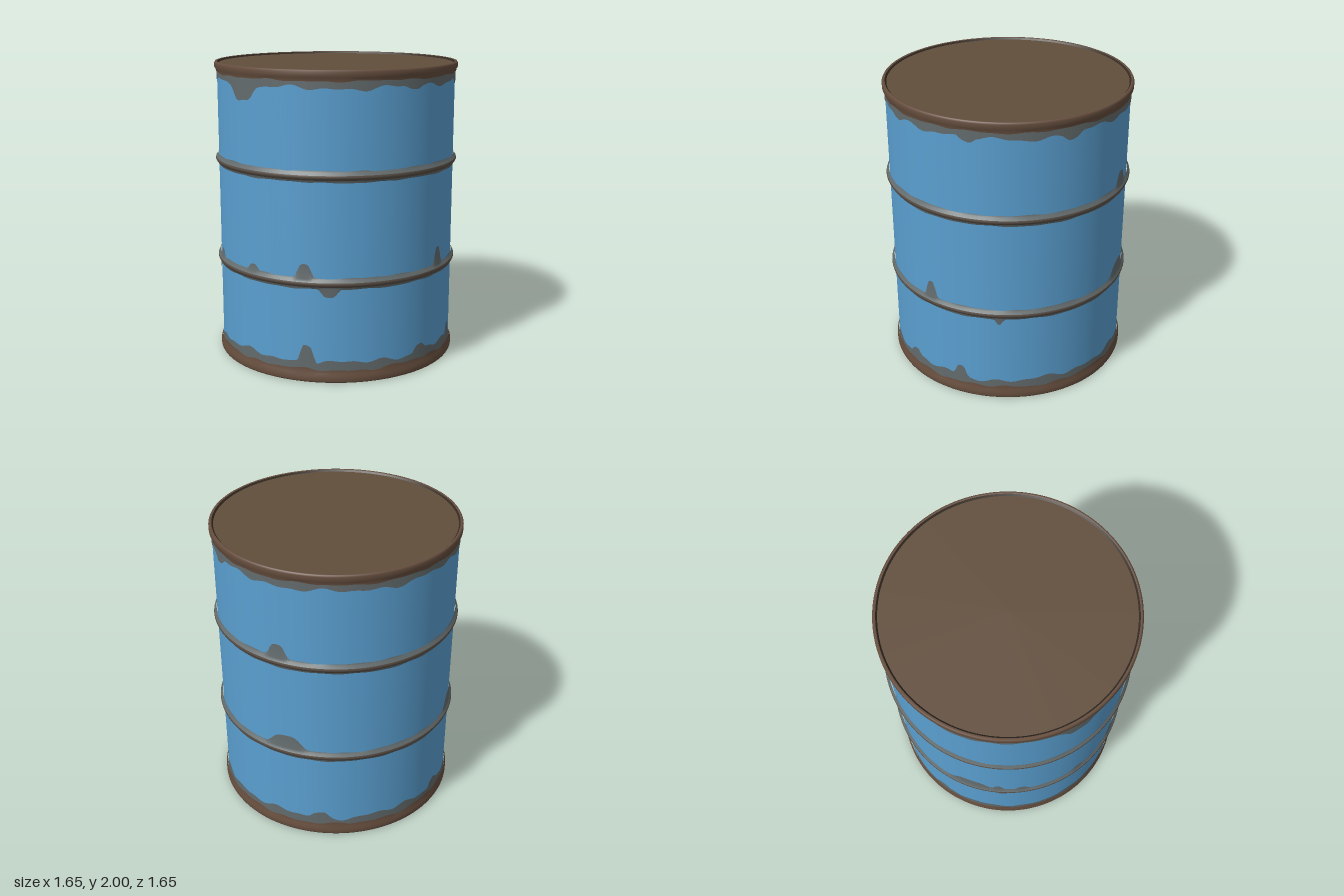
import * as THREE from 'three';

const SEG = 288;
const R = 0.804;   // drum wall
const SKIN = 0.808; // thin rust layer over the paint

const paint = (name, color) => Object.assign(new THREE.MeshStandardMaterial({ color }), { name });

// wavy edge around the drum
const wave = (a, seed) =>
  (Math.sin(7 * a + seed) + Math.sin(16 * a + seed * 2.3) + 0.8 * Math.sin(27 * a + seed * 4.1)) / 2.8;

// rounded stains: each is [angle in degrees, half width in radians, height]
function stains(a, list) {
  let h = 0;
  for (const [deg, w, height] of list) {
    let d = a - THREE.MathUtils.degToRad(deg);
    d = Math.atan2(Math.sin(d), Math.cos(d));
    h = Math.max(h, height * Math.exp(-Math.pow(d / w, 4)));
  }
  return h;
}

// closed band through rows of [y or y(angle), radius], from bottom to top
function band(name, rows, material) {
  const pos = [], index = [];
  for (const [y, r] of rows) {
    for (let i = 0; i < SEG; i++) {
      const a = (i / SEG) * Math.PI * 2;
      pos.push(r * Math.sin(a), typeof y === 'function' ? y(a) : y, r * Math.cos(a));
    }
  }
  for (let j = 0; j < rows.length - 1; j++) {
    for (let i = 0; i < SEG; i++) {
      const k = (i + 1) % SEG;
      const a = j * SEG + i, b = j * SEG + k, c = b + SEG, d = a + SEG;
      index.push(a, b, c, a, c, d);
    }
  }
  const g = new THREE.BufferGeometry();
  g.setAttribute('position', new THREE.Float32BufferAttribute(pos, 3));
  g.setIndex(index);
  g.computeVertexNormals();
  const mesh = new THREE.Mesh(g, material);
  mesh.name = name;
  return mesh;
}

export function createModel() {
  const blue = paint('bluePaint', 0x5a9fd0);
  const patina = paint('greyRust', 0x636b6c);
  const rust = paint('brownRust', 0x664e3e);
  const ridgeRust = paint('ridgeRust', 0x5c5148);
  const lidRust = paint('lidRust', 0x624e3c);
  const dark = paint('darkSeam', 0x332a23);

  const drum = new THREE.Group();
  drum.name = 'oilDrum';

  // painted wall
  drum.add(band('wall', [[0.02, R], [1.98, R]], blue));

  // rust creeping from both ends
  const topStains = [[-75, 0.12, 0.1], [8, 0.07, 0.02], [48, 0.06, 0.03], [95, 0.07, 0.03]];
  const bottomStains = [[-42, 0.06, 0.13], [14, 0.06, 0.05], [43, 0.05, 0.08], [150, 0.08, 0.04], [215, 0.06, 0.05]];
  drum.add(band('topRust', [
    [a => 1.888 + 0.022 * wave(a, 1.3) - stains(a, topStains), SKIN], [1.96, SKIN],
  ], patina));
  drum.add(band('bottomRust', [
    [0.03, SKIN], [a => 0.135 + 0.025 * wave(a, 4.2) + stains(a, bottomStains), SKIN],
  ], patina));

  // rolled rims at both ends
  drum.add(band('topRim', [
    [a => 1.932 + 0.008 * wave(a, 2.6), 0.811], [1.95, 0.813], [1.962, 0.821],
    [1.988, 0.821], [1.998, 0.816], [2, 0.809], [1.997, 0.801],
  ], rust));
  drum.add(band('bottomRim', [
    [0.003, 0.801], [0, 0.809], [0.002, 0.816], [0.012, 0.821],
    [0.042, 0.821], [0.058, 0.813], [a => 0.085 + 0.014 * wave(a, 0.7), 0.811],
  ], rust));
  drum.add(band('topSeam', [[1.997, 0.801], [1.985, 0.79]], dark));
  drum.add(band('bottomSeam', [[0.015, 0.79], [0.003, 0.801]], dark));

  // end plates
  for (const side of [1, -1]) {
    const plate = new THREE.Mesh(new THREE.CircleGeometry(0.792, 96), lidRust);
    plate.name = side > 0 ? 'lid' : 'base';
    plate.rotation.x = -side * Math.PI / 2;
    plate.position.y = side > 0 ? 1.986 : 0.014;
    drum.add(plate);
  }

  // raised hoops with stains above and below
  const hoops = [
    {
      name: 'lowerHoop', y: 0.662, seed: 3.1,
      above: [[-43, 0.06, 0.09], [27.5, 0.05, 0.11], [134, 0.14, 0.085], [234, 0.15, 0.09],
        [248, 0.04, 0.07], [260, 0.05, 0.05], [290, 0.05, 0.04]],
      below: [[-31.5, 0.07, 0.055], [62, 0.03, 0.04], [239, 0.12, 0.05], [250, 0.06, 0.075]],
    },
    { name: 'upperHoop', y: 1.347, seed: 5.4, above: [[131, 0.075, 0.09]], below: [] },
  ];
  for (const { name, y, seed, above, below } of hoops) {
    const hoop = new THREE.Group();
    hoop.name = name;
    hoop.add(band('hoopTop', [
      [y + 0.01, 0.824], [y + 0.028, 0.811],
      [a => y + 0.036 + 0.005 * wave(a, seed) + stains(a, above), SKIN],
    ], patina));
    hoop.add(band('hoopRidge', [
      [y - 0.022, 0.814], [y - 0.01, 0.824], [y, 0.827], [y + 0.01, 0.824],
    ], ridgeRust));
    hoop.add(band('hoopBottom', [
      [a => y - 0.036 + 0.005 * wave(a, seed + 2) - stains(a, below), SKIN],
      [y - 0.03, 0.81], [y - 0.022, 0.814],
    ], patina));
    drum.add(hoop);
  }
  return drum;
}
